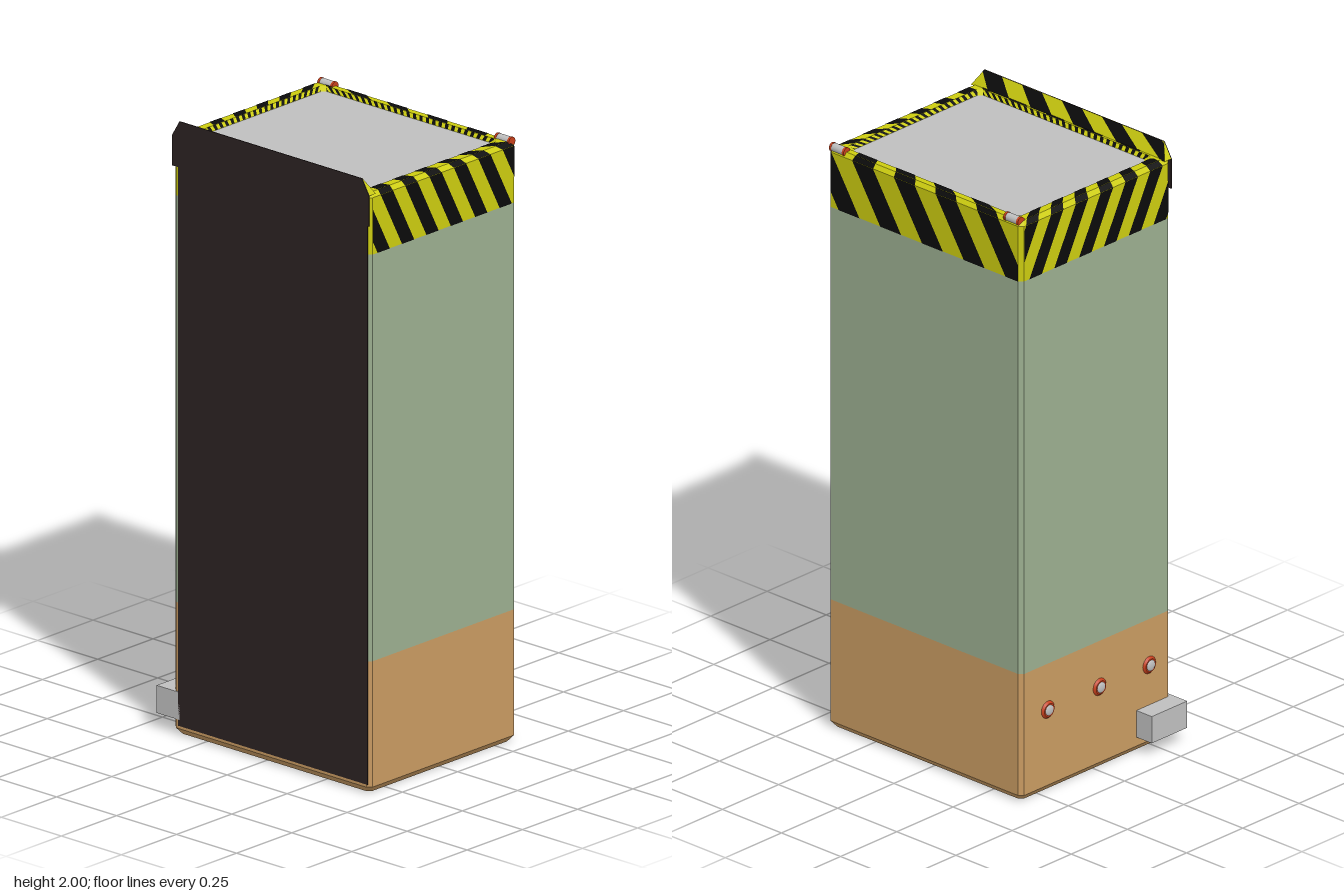
import * as THREE from 'three';

const mat = (name, color) => {
  const m = new THREE.MeshStandardMaterial({ color });
  m.name = name;
  return m;
};

// Flat-sided mesh from a list of convex polygons (corners counter-clockwise)
function polyMesh(name, material, polys) {
  const pos = [];
  for (const p of polys)
    for (let i = 1; i < p.length - 1; i++)
      for (const v of [p[0], p[i], p[i + 1]]) pos.push(v.x, v.y, v.z);
  const g = new THREE.BufferGeometry();
  g.setAttribute('position', new THREE.Float32BufferAttribute(pos, 3));
  g.computeVertexNormals();
  const m = new THREE.Mesh(g, material);
  m.name = name;
  return m;
}

const V = (x, y, z) => new THREE.Vector3(x, y, z);
const CX = 0.03, HX = 0.41, HZ = 0.333, C = 0.013;

// Rectangle with cut corners, seen from above; even edges are front, right, back, left
function ring([ix, iz, y]) {
  const hx = HX - ix, hz = HZ - iz;
  return [[-hx + C, hz], [hx - C, hz], [hx, hz - C], [hx, C - hz],
    [hx - C, -hz], [C - hx, -hz], [-hx, C - hz], [-hx, hz - C]]
    .map(([x, z]) => V(CX + x, y, z));
}
const wall = (a, b, i) => [a[i], a[(i + 1) % 8], b[(i + 1) % 8], b[i]];

function loft(name, material, levels, bottom = false) {
  const rings = levels.map(ring), polys = [];
  for (let k = 0; k < rings.length - 1; k++)
    for (let i = 0; i < 8; i++) polys.push(wall(rings[k], rings[k + 1], i));
  if (bottom) polys.push([...rings[0]].reverse());
  return polyMesh(name, material, polys);
}

// Keep the part of a polygon where s * u <= s * limit
function clip(poly, s, limit) {
  const out = [];
  poly.forEach((a, i) => {
    const b = poly[(i + 1) % poly.length];
    const da = s * (a[0] - limit), db = s * (b[0] - limit);
    if (da <= 0) out.push(a);
    if (da * db < 0) {
      const t = da / (da - db);
      out.push([limit, a[1] + (b[1] - a[1]) * t]);
    }
  });
  return out;
}

// Slanted stripes laid just above a quad; count periods, lean = shift along the quad
function stripes(quad, count, lean, phase = 0.2) {
  const [p, q, r, s] = quad;
  const n = q.clone().sub(p).cross(s.clone().sub(p)).normalize().multiplyScalar(0.0012);
  const polys = [];
  for (let k = -3; k < count + 3; k++) {
    const a = (k + phase) / count, b = a + 0.5 / count;
    const band = clip(clip([[a, 0], [b, 0], [b + lean, 1], [a + lean, 1]], 1, 1), -1, 0);
    if (band.length < 3) continue;
    polys.push(band.map(([u, v]) =>
      p.clone().lerp(q, u).lerp(s.clone().lerp(r, u), v).add(n)));
  }
  return polys;
}

export function createModel() {
  const model = new THREE.Group();
  model.name = 'cabinet';
  const orange = mat('orange', 0xc99b62), green = mat('sage green', 0x9caf90);
  const yellow = mat('warning yellow', 0xcccc10), black = mat('stripe black', 0x0b0b0b);
  const dark = mat('dark brown', 0x2d2323), grey = mat('light grey', 0xbfbfbf);
  const red = mat('red', 0xc8401c);

  // Body bands
  model.add(loft('base', orange, [[0.015, 0.015, 0], [0, 0, 0.02], [0, 0, 0.43]], true));
  model.add(loft('body', green, [[0, 0, 0.43], [0, 0, 1.755]]));

  // Striped collar, rim and inner slope
  const collar = [[0, 0, 1.755], [0, 0, 1.94], [0.015, 0.012, 1.953],
    [0.043, 0.034, 1.953], [0.057, 0.046, 1.942]];
  model.add(loft('collar', yellow, collar));
  const rings = collar.map(ring), marks = [];
  for (let k = 0; k < 4; k++)
    for (let e = 0; e < 8; e += 2) {
      if (e === 0 && k < 2) continue;
      const side = e % 4 === 2;
      const count = k === 3 ? (side ? 22 : 26) : (side ? 5.8 : 4.5);
      const dir = e === 6 ? 1 : -1;
      const lean = dir * [0.15, 0.012, 0.04, 0.02][k];
      const shift = dir * [0, 0.15, 0.162, 0][k] * count;
      marks.push(...stripes(wall(rings[k], rings[k + 1], e), count, lean, 0.2 + shift));
    }

  // Raised front lip, striped on its sloping back
  const [L, R, l, r] = [-0.38, 0.44, -0.35, 0.41];
  const slope = [V(R, 1.95, 0.305), V(L, 1.95, 0.305), V(l, 2, HZ), V(r, 2, HZ)];
  model.add(polyMesh('frontLip', yellow, [slope,
    [V(R, 1.95, HZ), V(R, 1.95, 0.305), V(r, 2, HZ)],
    [V(L, 1.95, 0.305), V(L, 1.95, HZ), V(l, 2, HZ)]]));
  marks.push(...stripes(slope, 4.5, -0.1, 0.4));
  model.add(polyMesh('warningStripes', black, marks));

  // Top panel
  model.add(polyMesh('topPanel', grey, [rings[4]]));

  // Front plate with cut top corners
  const outline = [[-0.355, 0.03], [0.434, 0.03], [0.434, 1.85], [R, 1.85], [R, 1.95],
    [r, 2], [l, 2], [L, 1.95], [L, 1.85], [-0.355, 1.85]];
  const plate = new THREE.Mesh(new THREE.ExtrudeGeometry(
    new THREE.Shape(outline.map(([x, y]) => new THREE.Vector2(x, y))),
    { depth: 0.003, bevelEnabled: false }), dark);
  plate.position.z = HZ;
  plate.name = 'frontPlate';
  model.add(plate);

  // Small lamps lying on the back corners: grey barrel, red end rings
  for (const x of [-0.335, 0.402]) {
    const lamp = new THREE.Group();
    lamp.name = 'cornerLamp';
    const part = (name, m, radius, len, at) => {
      const c = new THREE.Mesh(new THREE.CylinderGeometry(radius, radius, len, 16), m);
      c.rotation.z = Math.PI / 2;
      c.position.x = at;
      c.name = name;
      lamp.add(c);
    };
    part('barrel', grey, 0.014, 0.05, 0);
    for (const s of [-1, 1]) part('endRing', red, 0.015, 0.008, s * 0.027);
    lamp.position.set(x, 1.952, -0.319);
    model.add(lamp);
  }

  // Round buttons on the right side: red collar, grey dome
  for (const z of [-0.215, 0.015, 0.236]) {
    const button = new THREE.Group();
    button.name = 'sideButton';
    const collarRing = new THREE.Mesh(new THREE.CylinderGeometry(0.022, 0.029, 0.007, 20), red);
    collarRing.position.y = 0.0035;
    collarRing.name = 'buttonRing';
    const dome = new THREE.Mesh(
      new THREE.SphereGeometry(0.018, 20, 8, 0, Math.PI * 2, 0, Math.PI / 2), grey);
    dome.scale.y = 0.35;
    dome.position.y = 0.006;
    dome.name = 'buttonDome';
    button.add(collarRing, dome);
    button.rotation.z = Math.PI / 2;
    button.position.set(L, 0.275, z);
    model.add(button);
  }

  // Box on the lower right side
  const box = new THREE.Mesh(new THREE.BoxGeometry(0.095, 0.09, 0.157), grey);
  box.position.set(-0.3975, 0.095, 0.2575);
  box.name = 'sideBox';
  model.add(box);

  return model;
}
